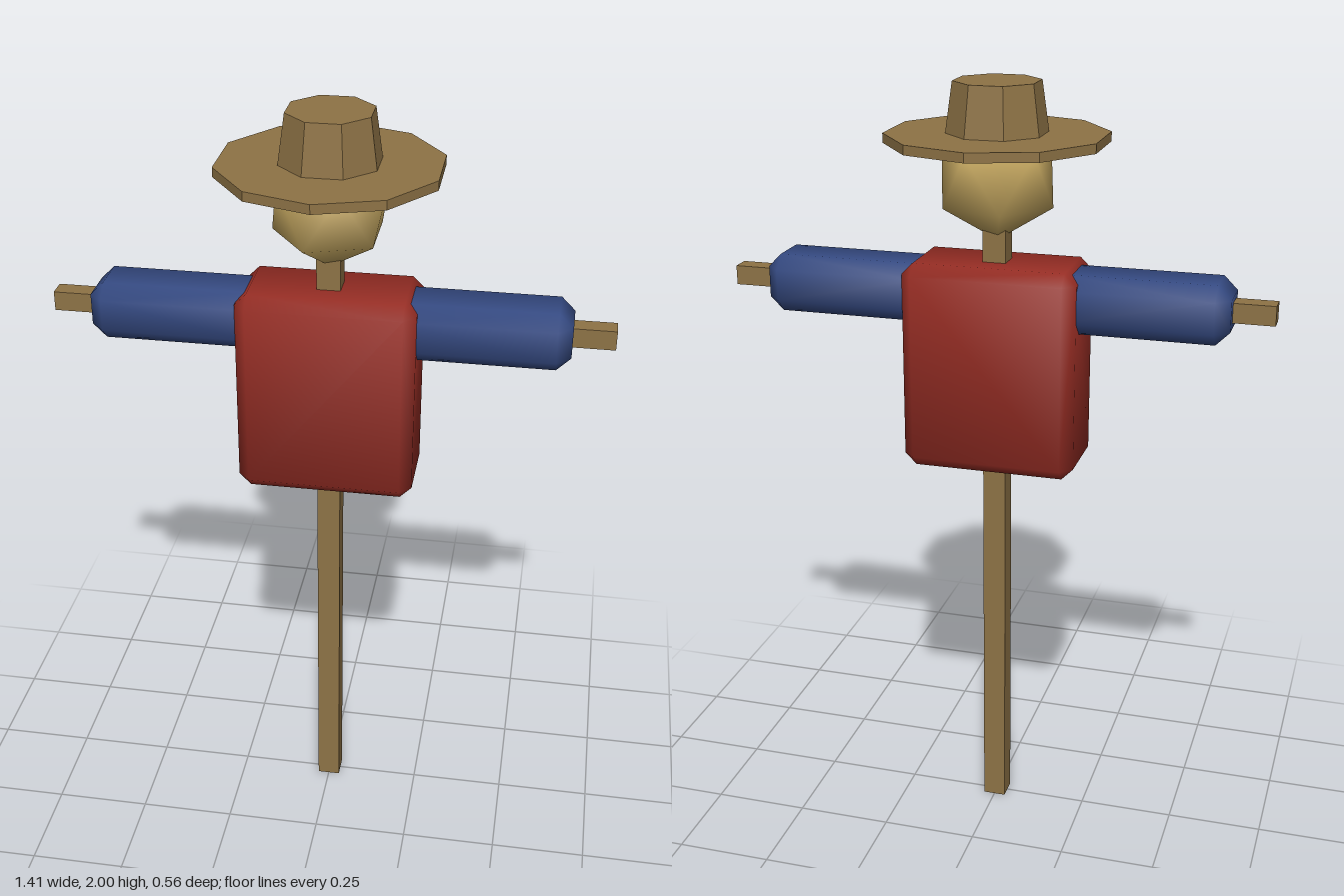
import * as THREE from 'three';
import { ConvexGeometry } from 'three/addons/geometries/ConvexGeometry.js';

const material = (name, color) => {
  const m = new THREE.MeshStandardMaterial({ color });
  m.name = name;
  return m;
};

// Convex solid whose normals follow a rule of the vertex position
function smoothSolid(points, normalAt) {
  const geometry = new ConvexGeometry(points);
  const { position, normal } = geometry.attributes;
  const p = new THREE.Vector3();
  for (let i = 0; i < position.count; i++) {
    const n = normalAt(p.fromBufferAttribute(position, i)).normalize();
    normal.setXYZ(i, n.x, n.y, n.z);
  }
  return geometry;
}

// Chamfered box, softly shaded across its edges
function chamferBox(w, h, d, c) {
  const half = [w / 2, h / 2, d / 2];
  const points = [];
  for (const sx of [-1, 1]) for (const sy of [-1, 1]) for (const sz of [-1, 1]) {
    for (let axis = 0; axis < 3; axis++) {
      const v = [sx, sy, sz].map((s, i) => s * (half[i] - (i === axis ? 0 : c)));
      points.push(new THREE.Vector3(...v));
    }
  }
  return smoothSolid(points, (p) => new THREE.Vector3(
    ...p.toArray().map((v, i) => Math.sign(v) * (Math.abs(v) > half[i] - c / 2 ? 1 : 0.39))
  ));
}

// Twenty-sided ball standing on a point
function icoBall(r) {
  const points = [new THREE.Vector3(0, r, 0), new THREE.Vector3(0, -r, 0)];
  const ring = r * 2 / Math.sqrt(5), level = r / Math.sqrt(5);
  for (let i = 0; i < 5; i++) {
    const a = i * Math.PI * 2 / 5;
    points.push(new THREE.Vector3(ring * Math.cos(a), level, ring * Math.sin(a)));
    points.push(new THREE.Vector3(-ring * Math.cos(a), -level, ring * Math.sin(a)));
  }
  return smoothSolid(points, (p) => p.clone());
}

export function createModel() {
  const group = new THREE.Group();
  group.name = 'scarecrow';
  const wood = material('wood', 0x8e7346);
  const burlap = material('burlap', 0xc8aa62);
  const red = material('redShirt', 0x962d24);
  const blue = material('blueSleeve', 0x354a82);
  wood.flatShading = true;

  const add = (name, geometry, mat, x, y, z = 0) => {
    const mesh = new THREE.Mesh(geometry, mat);
    mesh.name = name;
    mesh.position.set(x, y, z);
    group.add(mesh);
    return mesh;
  };

  // Wooden frame
  add('pole', new THREE.BoxGeometry(0.06, 1.7, 0.06), wood, 0, 0.85);
  add('crossbar', new THREE.BoxGeometry(1.41, 0.05, 0.05), wood, 0, 1.472);

  // Stuffed shirt and sleeves
  add('torso', chamferBox(0.45, 0.54, 0.235, 0.03), red, 0, 1.286);
  for (const [name, side] of [['leftSleeve', 1], ['rightSleeve', -1]]) {
    add(name, chamferBox(0.45, 0.15, 0.172, 0.035), blue, side * 0.375, 1.47);
  }

  // Sack head
  add('head', icoBall(0.16), burlap, 0, 1.768);

  // Hat
  add('hatBrim', new THREE.CylinderGeometry(0.28, 0.28, 0.024, 10), wood, 0, 1.863);
  add('hatCrown', new THREE.CylinderGeometry(0.11, 0.13, 0.14, 8), wood, 0, 1.93)
    .rotation.y = Math.PI / 8;

  return group;
}
